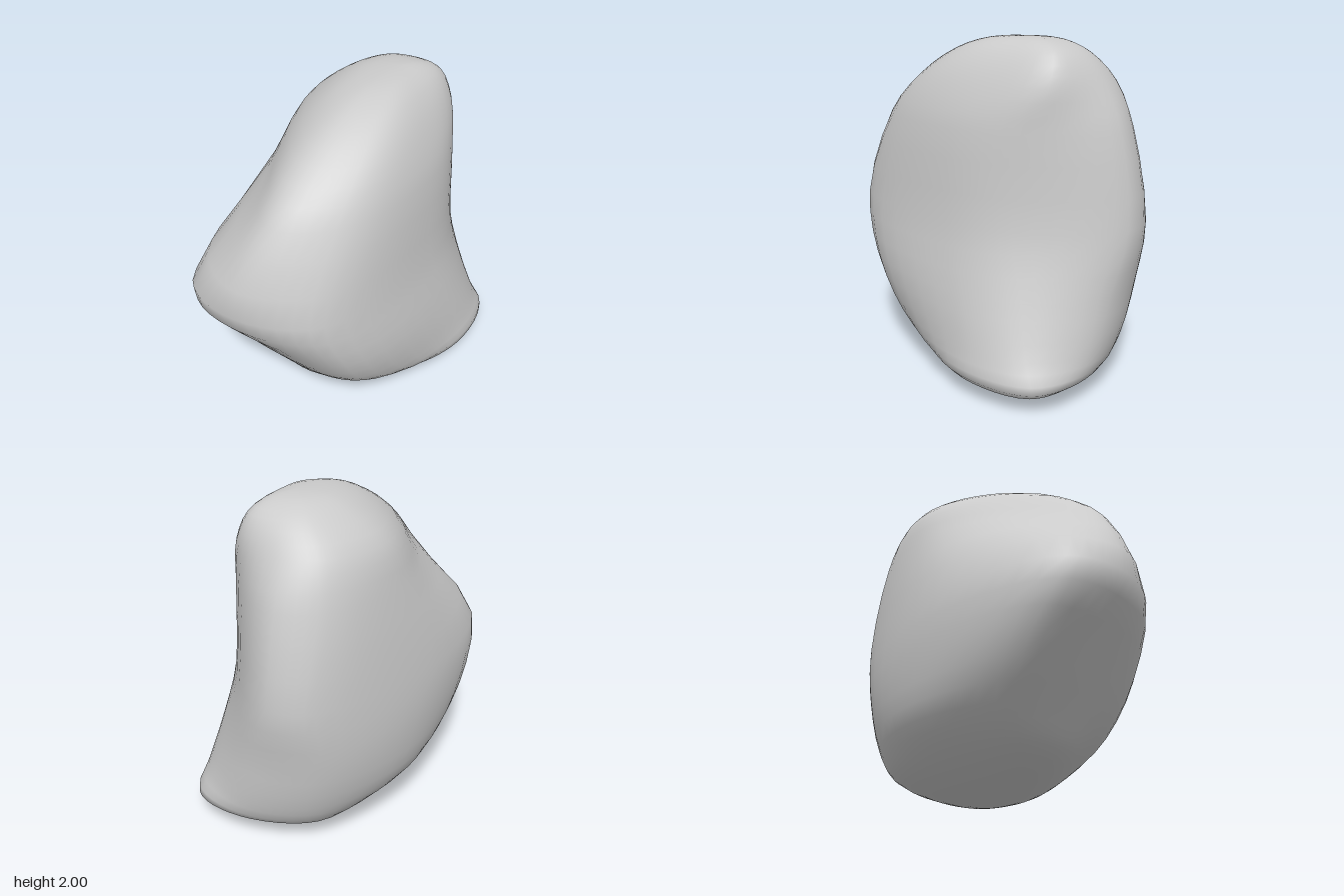
import * as THREE from 'three';
import { mergeVertices } from 'three/addons/utils/BufferGeometryUtils.js';

// Horizontal section: height, then x,z pairs running counterclockwise from above:
// front ridge, +x face, back corner, back, back -x, -x side, front -x corner, front
function section(y, ...xz) {
  const points = [];
  for (let i = 0; i < xz.length; i += 2) points.push(new THREE.Vector3(xz[i], y, xz[i + 1]));
  return points;
}

// Smaller copy of a section, drawn in toward a pole to round off an end
function inset(points, pole, amount, y) {
  return points.map((p) => p.clone().lerp(pole, amount).setY(y));
}

function rockGeometry() {
  const bottom = new THREE.Vector3(0.27, 0, -0.3);
  const top = new THREE.Vector3(0.09, 2, -0.36);
  const base = section(0.14, 0.42, 0.16, 0.66, -0.3, 0.6, -0.77, 0.25, -0.88, -0.2, -0.72, -0.36, -0.2, -0.28, 0.32, 0, 0.42);
  const foot = section(0.3, 0.39, 0.44, 0.65, -0.3, 0.57, -0.7, 0.2, -0.92, -0.25, -0.8, -0.54, -0.2, -0.45, 0.4, -0.02, 0.55);
  const belly = section(0.6, 0.38, 0.65, 0.6, -0.2, 0.5, -0.61, 0.12, -0.94, -0.3, -0.85, -0.62, -0.15, -0.57, 0.62, -0.1, 0.76);
  const nose = section(0.97, 0.32, 0.77, 0.53, -0.08, 0.45, -0.5, 0.02, -0.98, -0.28, -0.91, -0.65, 0, -0.55, 0.84, -0.15, 0.98);
  const shoulder = section(1.5, 0.33, 0.52, 0.48, -0.1, 0.4, -0.54, 0, -0.9, -0.3, -0.78, -0.51, -0.2, -0.33, 0.39, -0.04, 0.76);
  const neck = section(1.75, 0.31, 0.28, 0.4, -0.2, 0.32, -0.64, 0, -0.79, -0.25, -0.7, -0.42, -0.3, -0.26, 0.19, 0, 0.48);
  const crown = section(1.91, 0.25, 0.05, 0.3, -0.3, 0.25, -0.62, 0.05, -0.67, -0.12, -0.61, -0.24, -0.35, -0.15, 0, 0.05, 0.19);

  // Smooth each section around
  const rings = [
    inset(base, bottom, 0.4, 0.045), base, foot, belly, nose, shoulder, neck, crown,
    inset(crown, top, 0.45, 1.98),
  ].map((points) => new THREE.CatmullRomCurve3(points, true, 'centripetal'));

  // Run smooth curves from the underside to the summit through the sections
  const around = 48;
  const rows = (rings.length + 1) * 3;
  const positions = [], index = [];
  for (let i = 0; i < around; i++) {
    const column = [bottom, ...rings.map((ring) => ring.getPoint(i / around)), top];
    const curve = new THREE.CatmullRomCurve3(column, false, 'centripetal');
    for (let j = 0; j <= rows; j++) positions.push(...curve.getPoint(j / rows).toArray());
  }

  // Join neighbouring columns, with single triangles at the poles
  const at = (i, j) => (i % around) * (rows + 1) + j;
  for (let i = 0; i < around; i++) {
    for (let j = 0; j < rows; j++) {
      const a = at(i, j), b = at(i + 1, j), c = at(i + 1, j + 1), d = at(i, j + 1);
      if (j > 0) index.push(a, b, c);
      if (j < rows - 1) index.push(a, c, d);
    }
  }
  // The first row needs the triangle that widens upward, the last the one that narrows
  const grid = new THREE.BufferGeometry();
  grid.setAttribute('position', new THREE.Float32BufferAttribute(positions, 3));
  grid.setIndex(index);
  const geometry = mergeVertices(grid, 1e-5);
  geometry.computeVertexNormals();
  return geometry;
}

export function createModel() {
  const group = new THREE.Group();
  group.name = 'boulder';
  const rock = new THREE.Mesh(rockGeometry(), new THREE.MeshStandardMaterial({ color: 0xcccccc }));
  rock.name = 'rock';
  group.add(rock);
  return group;
}
